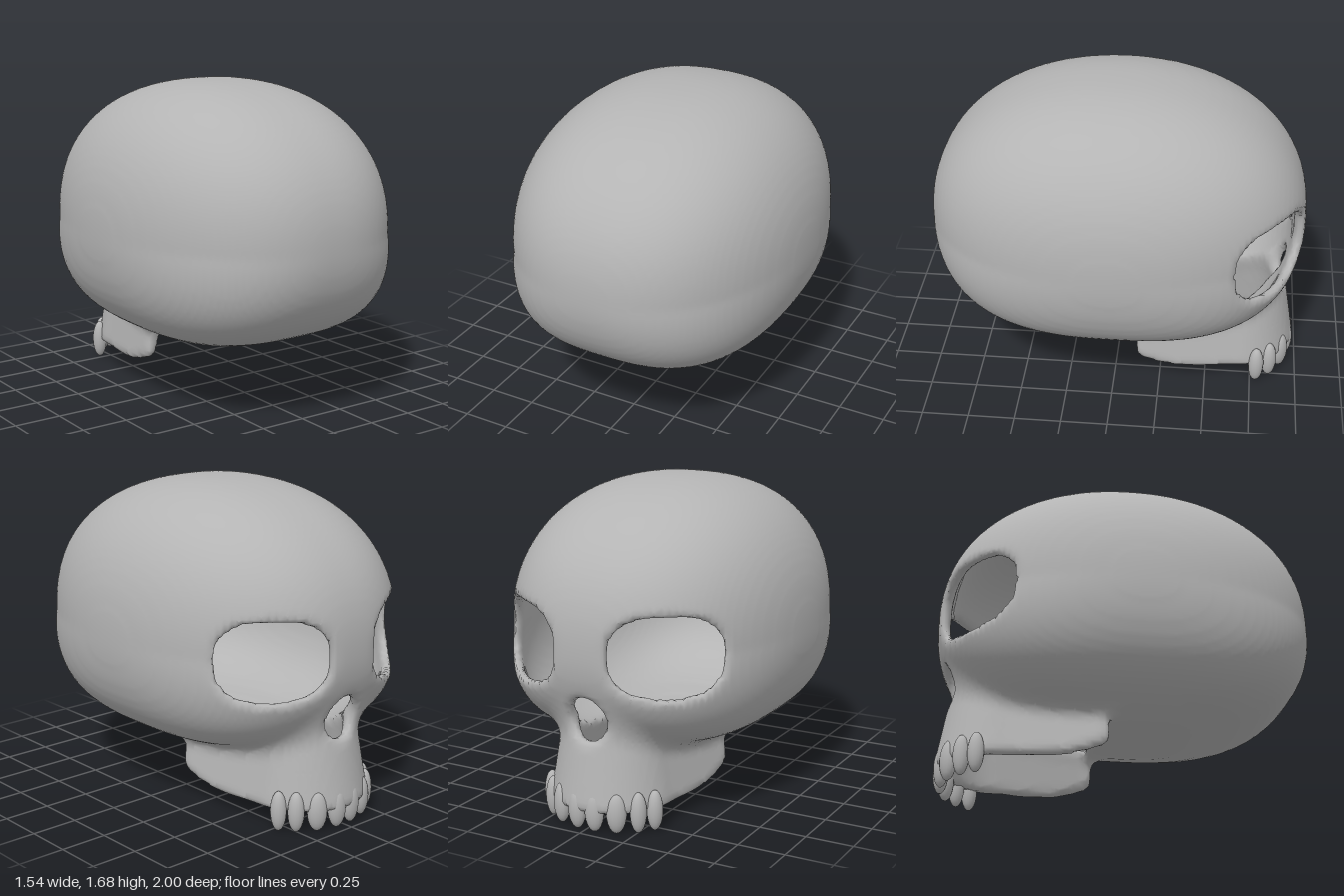
import * as THREE from 'three';

const bone = new THREE.MeshStandardMaterial({ color: 0xb4b4b4 });
bone.name = 'bone grey';

// Smooth blends of two distance fields
const smin = (a, b, k) => {
  const h = Math.max(k - Math.abs(a - b), 0) / k;
  return Math.min(a, b) - h * h * k * 0.25;
};
const smax = (a, b, k) => -smin(-a, -b, k);

// Egg-shaped brain case, squarer towards the base
function craniumField(x, y, z) {
  const h = y - 0.92;
  const Y = h / (h > 0 ? 0.77 : 0.59);
  const low = Math.min(Math.max(-Y, 0), 1);
  const F = Math.pow(Math.abs(x / 0.77), 2.4 + 0.6 * low)
    + Math.pow(Math.abs(Y), 2.3 + 0.5 * low)
    + Math.pow(Math.abs(z), 2.1 + 0.6 * low);
  return (Math.pow(F, 0.42) - 1) * 0.8;
}

// Signed distance to the U-shaped dental arch in plan, negative inside the U
function archField(x, y, z) {
  const r = 0.3 - 0.17 * (y - 0.1);
  const t = z + 0.65;
  return t > 0 ? Math.abs(x) - r - 0.13 * t : Math.hypot(x, t) - r;
}

// Oval eye opening, facing forward and outward
function eyeField(x, y, z) {
  const dx = Math.abs(x) - 0.38, dz = z + 0.8;
  const u = (dx * 0.82 + dz * 0.57) / 0.27;
  const v = (y - 0.915) / 0.19;
  const d = Math.pow(Math.pow(Math.abs(u), 2.6) + Math.pow(Math.abs(v), 2.6), 1 / 2.6) - 1;
  return Math.max(d * 0.22, z + 0.4);
}

// Hollow skull: brain case blended into the upper jaw, then opened up
function skullField(x, y, z) {
  const cranium = craniumField(x, y, z);
  const arch = archField(x, y, z);
  const jawBottom = 0.1 + 0.08 * Math.max(0, 1 - (-0.12 - z) / 0.35) ** 2;
  let jaw = smax(Math.abs(arch) - 0.035, z + 0.12, 0.04);
  jaw = smax(jaw, Math.max(jawBottom - y, y - 0.62), 0.04);
  let d = smin(cranium, jaw, 0.1);
  d = smax(d, -(cranium + 0.045), 0.02);
  // opening in the base between the jaw arms
  d = smax(d, -Math.max(arch + 0.032, z + 0.17, y - 0.6), 0.02);
  // eye sockets and nose
  d = smax(d, -eyeField(x, y, z), 0.05);
  const nose = (Math.hypot(x / 0.095, (y - 0.57) / 0.11) - 1) * 0.1;
  return smax(d, -Math.max(nose, z + 0.6), 0.04);
}

// Skin a field with quads: one vertex per crossed cell, one quad per crossed edge
function skinField(field, min, max, step) {
  const n = min.map((m, a) => Math.ceil((max[a] - m) / step) + 1);
  const stride = [1, n[0], n[0] * n[1]];
  const values = new Float32Array(n[0] * n[1] * n[2]);
  const cellVertex = new Int32Array(values.length).fill(-1);
  const positions = [], indices = [];
  const eachNode = (from, trim, visit) => {
    for (let k = from; k < n[2] - trim; k++)
      for (let j = from; j < n[1] - trim; j++)
        for (let i = from; i < n[0] - trim; i++)
          visit([i, j, k], i + j * stride[1] + k * stride[2]);
  };
  eachNode(0, 0, (g, id) => {
    values[id] = field(...g.map((c, a) => min[a] + c * step));
  });

  // vertex at the mean of the edge crossings of each cell
  eachNode(0, 1, (g, id) => {
    const sum = [0, 0, 0];
    let count = 0;
    for (let c = 0; c < 8; c++) {
      const corner = [c & 1, (c >> 1) & 1, c >> 2];
      const start = id + corner[0] + corner[1] * stride[1] + corner[2] * stride[2];
      for (let a = 0; a < 3; a++) {
        if (corner[a]) continue;
        const f0 = values[start], f1 = values[start + stride[a]];
        if ((f0 < 0) === (f1 < 0)) continue;
        for (let b = 0; b < 3; b++) sum[b] += corner[b] + (a === b ? f0 / (f0 - f1) : 0);
        count++;
      }
    }
    if (!count) return;
    cellVertex[id] = positions.length / 3;
    for (let a = 0; a < 3; a++) positions.push(min[a] + (g[a] + sum[a] / count) * step);
  });

  // quads around crossed edges, facing out of the solid
  eachNode(1, 1, (g, id) => {
    for (let a = 0; a < 3; a++) {
      const inside = values[id] < 0;
      if (inside === (values[id + stride[a]] < 0)) continue;
      const sb = stride[(a + 1) % 3], sc = stride[(a + 2) % 3];
      const q = [id - sb - sc, id - sc, id, id - sb].map((c) => cellVertex[c]);
      if (!inside) q.reverse();
      indices.push(q[0], q[1], q[2], q[0], q[2], q[3]);
    }
  });

  const geometry = new THREE.BufferGeometry();
  geometry.setAttribute('position', new THREE.Float32BufferAttribute(positions, 3));
  geometry.setIndex(indices);
  geometry.computeVertexNormals();
  return geometry;
}

export function createModel() {
  const model = new THREE.Group();
  model.name = 'skull';

  const shell = new THREE.Mesh(
    skinField(skullField, [-0.8375, 0.02, -1.06], [0.8375, 1.76, 1.06], 0.025), bone);
  shell.name = 'craniumAndUpperJaw';
  model.add(shell);

  // Upper teeth along the arch, mirrored: x, z, half-width
  const teeth = new THREE.Group();
  teeth.name = 'upperTeeth';
  const toothGeometry = new THREE.SphereGeometry(1, 16, 12);
  for (const [x, z, w] of [[0.05, -0.94, 0.05], [0.16, -0.91, 0.052], [0.25, -0.85, 0.043], [0.305, -0.78, 0.042]]) {
    for (const side of [-1, 1]) {
      const tooth = new THREE.Mesh(toothGeometry, bone);
      tooth.name = 'tooth';
      tooth.scale.set(w, 0.105, 0.04);
      tooth.position.set(side * x, 0.11, z);
      tooth.rotation.y = side * Math.atan2(x, -(z + 0.65)) * -1;
      teeth.add(tooth);
    }
  }
  model.add(teeth);
  return model;
}
